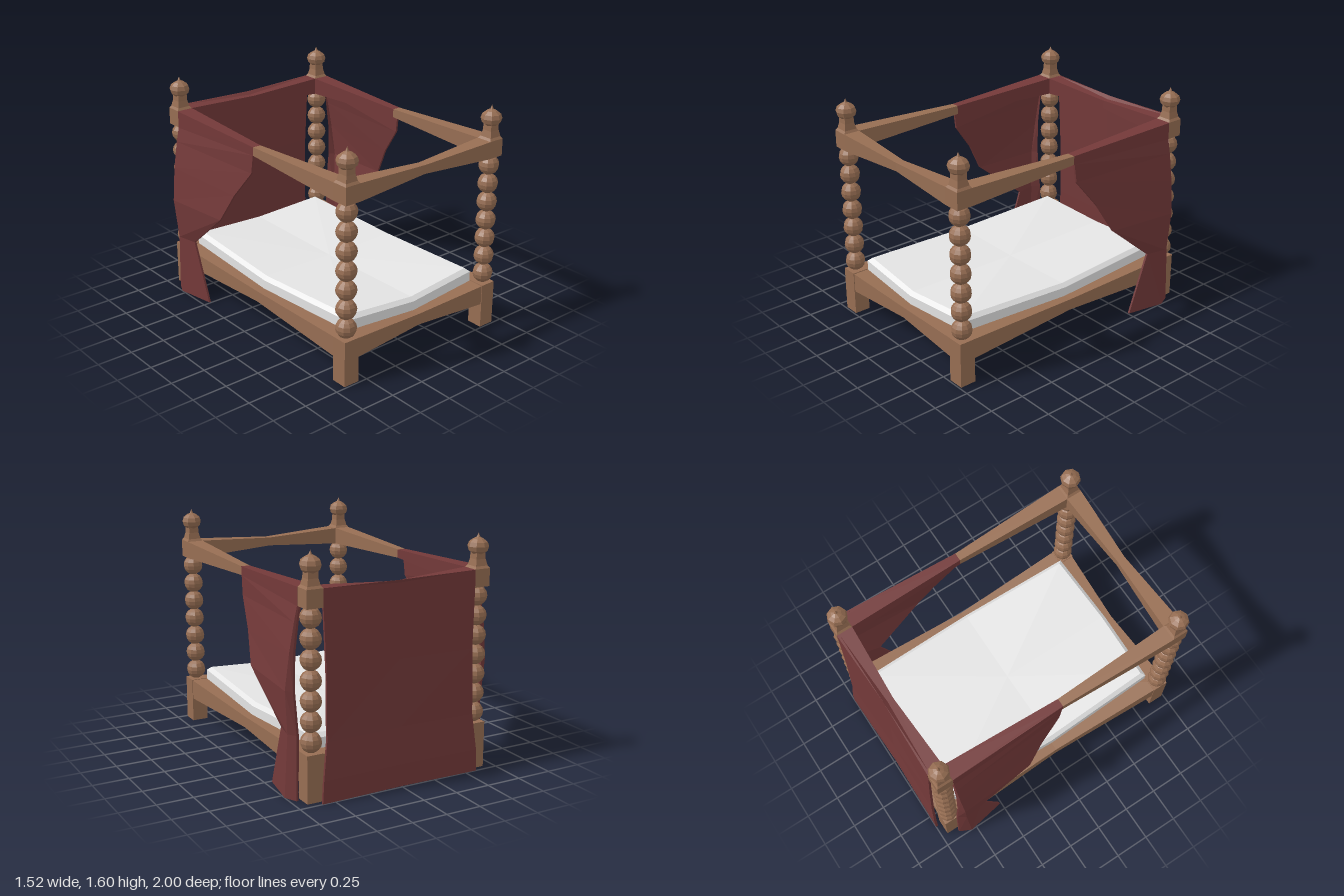
import * as THREE from 'three';

const wood = new THREE.MeshStandardMaterial({ color: 0x976e53 });
wood.name = 'wood';
const cloth = new THREE.MeshStandardMaterial({ color: 0x733939 });
cloth.name = 'curtain cloth';
const linen = new THREE.MeshStandardMaterial({ color: 0xe4e4e4 });
linen.name = 'linen';

const POST_X = 0.6175, FRONT_Z = 0.93, BACK_Z = -0.8975, MID_Z = 0.0175;
const CORNER = { h: 0.0575, lo: 1.25, hi: 1.37 };
const MIDDLE = { h: 0.03, lo: 1.28, hi: 1.34 };

// Closed faceted solid through equal-sized rings of [x, y, z]; capY sets the heights of the cap centres
function loft(rings, capY = []) {
  const tris = [];
  const n = rings[0].length;
  for (let r = 0; r < rings.length - 1; r++) {
    for (let i = 0; i < n; i++) {
      const j = (i + 1) % n, a = rings[r], b = rings[r + 1];
      tris.push([a[i], a[j], b[j]], [a[i], b[j], b[i]]);
    }
  }
  [rings[0], rings[rings.length - 1]].forEach((ring, end) => {
    const c = [0, 1, 2].map(k => ring.reduce((s, p) => s + p[k], 0) / n);
    c[1] = capY[end] ?? c[1];
    ring.forEach((p, i) => {
      const q = ring[(i + 1) % n];
      tris.push(end ? [p, q, c] : [q, p, c]);
    });
  });
  // Turn the solid right side out
  let volume = 0;
  for (const [a, b, c] of tris) {
    volume += a[0] * (b[1] * c[2] - b[2] * c[1]) + a[1] * (b[2] * c[0] - b[0] * c[2]) + a[2] * (b[0] * c[1] - b[1] * c[0]);
  }
  if (volume < 0) tris.forEach(t => t.reverse());
  const geo = new THREE.BufferGeometry();
  geo.setAttribute('position', new THREE.Float32BufferAttribute(tris.flat(2), 3));
  geo.computeVertexNormals();
  return geo;
}

// Eight-point outline with side middles pushed in by `pinch` and lowered or raised to yMid
function outline(hx, zFront, zBack, pinch, yCorner, yMid) {
  return [
    [hx, yCorner, zFront], [hx - pinch, yMid, MID_Z], [hx, yCorner, zBack], [0, yMid, zBack + pinch],
    [-hx, yCorner, zBack], [-hx + pinch, yMid, MID_Z], [-hx, yCorner, zFront], [0, yMid, zFront - pinch],
  ];
}

// Thin cloth solid: each row is a run of points, thickened by an offset
function sheet(rows, offset) {
  return loft(rows.map(row => [...row, ...row.map(p => p.map((v, k) => v + offset[k])).reverse()]));
}

const square = (x, z, h, y) => [[x - h, y, z - h], [x + h, y, z - h], [x + h, y, z + h], [x - h, y, z + h]];
const railAcross = (x, z, s) => [[x, s.lo, z - s.h], [x, s.hi, z - s.h], [x, s.hi, z + s.h], [x, s.lo, z + s.h]];
const railAlong = (x, z, s) => [[x - s.h, s.lo, z], [x - s.h, s.hi, z], [x + s.h, s.hi, z], [x + s.h, s.lo, z]];

export function createModel() {
  const model = new THREE.Group();
  model.name = 'fourPosterBed';
  const add = (name, geo, mat, parent = model) => {
    const mesh = new THREE.Mesh(geo, mat);
    mesh.name = name;
    parent.add(mesh);
    return mesh;
  };

  // Bed base and mattress
  add('bedBase', loft([
    outline(0.675, 0.9875, -0.955, 0.03, 0.17, 0.205),
    outline(0.675, 0.9875, -0.955, 0.03, 0.32, 0.285),
  ], [0.205, 0.285]), wood);
  add('mattress', loft([
    outline(0.557, 0.868, -0.838, -0.027, 0.30, 0.265),
    outline(0.557, 0.868, -0.838, -0.027, 0.385, 0.35),
    outline(0.53, 0.84, -0.81, -0.027, 0.41, 0.375),
  ], [0.265, 0.365]), linen);

  // Corner posts: leg, turned beads, canopy block, pedestal and finial
  const bead = new THREE.SphereGeometry(0.07, 10, 8).toNonIndexed();
  bead.computeVertexNormals();
  const profile = [[0, 1.45], [0.034, 1.46], [0.062, 1.482], [0.071, 1.512], [0.062, 1.54],
    [0.036, 1.56], [0.012, 1.572], [0, 1.6]].map(p => new THREE.Vector2(...p));
  const finial = new THREE.LatheGeometry(profile, 8).toNonIndexed();
  finial.computeVertexNormals();
  for (const x of [POST_X, -POST_X]) {
    for (const z of [FRONT_Z, BACK_Z]) {
      const post = new THREE.Group();
      post.name = (z > 0 ? 'front' : 'back') + (x > 0 ? 'Left' : 'Right') + 'Post';
      post.position.set(x, 0, z);
      model.add(post);
      add('leg', new THREE.BoxGeometry(0.115, 0.319, 0.115), wood, post).position.y = 0.1595;
      for (let i = 0; i < 7; i++) add('bead', bead, wood, post).position.y = 0.387 + i * 0.133;
      add('canopyBlock', new THREE.BoxGeometry(0.115, 0.12, 0.115), wood, post).position.y = 1.31;
      add('pedestal', loft([
        square(0, 0, 0.0575, 1.37), square(0, 0, 0.046, 1.386), square(0, 0, 0.036, 1.43), square(0, 0, 0.035, 1.475),
      ]), wood, post);
      add('finial', finial, wood, post);
    }
  }

  // Canopy rails, slimmest in the middle; the rear ones are wrapped in cloth
  const ex = 0.56;
  for (const [name, z, mat] of [['frontRail', FRONT_Z, wood], ['backRailWrap', BACK_Z, cloth]]) {
    add(name, loft([railAcross(-ex, z, CORNER), railAcross(0, z, MIDDLE), railAcross(ex, z, CORNER)]), mat);
  }
  for (const s of [1, -1]) {
    const side = s > 0 ? 'left' : 'right', x = s * POST_X;
    add(side + 'Rail', loft([railAlong(x, 0.8725, CORNER), railAlong(x, MID_Z, MIDDLE)]), wood);
    add(side + 'RailWrap', loft([railAlong(x, MID_Z, MIDDLE), railAlong(x, -0.84, CORNER)]), cloth);

    // Side curtain: front edge, rear fold and inward return on every row
    const rows = [
      [[0.648, 1.34, 0.0175], [0.677, 1.37, -0.838], [0.667, 1.37, -0.84]],
      [[0.648, 1.28, 0.013], [0.678, 1.25, -0.838], [0.668, 1.25, -0.842]],
      [[0.652, 1.15, -0.005], [0.70, 1.15, -0.838], [0.685, 1.15, -0.843]],
      [[0.69, 0.95, -0.16], [0.733, 0.96, -0.835], [0.71, 0.96, -0.845]],
      [[0.73, 0.74, -0.28], [0.76, 0.72, -0.825], [0.72, 0.72, -0.855]],
      [[0.705, 0.43, -0.66], [0.737, 0.43, -0.81], [0.70, 0.43, -0.865]],
      [[0.70, 0, -0.51], [0.75, 0, -0.79], [0.71, 0, -0.875]],
    ].map(row => row.map(([px, y, z]) => [s * px, y, z]));
    add(side + 'Curtain', sheet(rows, [-s * 0.015, 0, 0]), cloth);
  }

  // Back curtain rows: half width, edge height, middle height, edge z, middle z
  const backRows = [
    [0.56, 1.37, 1.34, -0.956, -0.929],
    [0.56, 1.25, 1.28, -0.957, -0.931],
    [0.545, 0.85, 0.85, -0.968, -0.945],
    [0.55, 0.4, 0.4, -0.985, -0.965],
    [0.58, 0.15, 0.15, -1, -0.985],
    [0.588, 0, 0, -1, -0.985],
  ].map(([hx, ye, ym, ze, zm]) => [[-hx, ye, ze], [0, ym, zm], [hx, ye, ze]]);
  add('backCurtain', sheet(backRows, [0, 0, 0.018]), cloth);

  return model;
}
